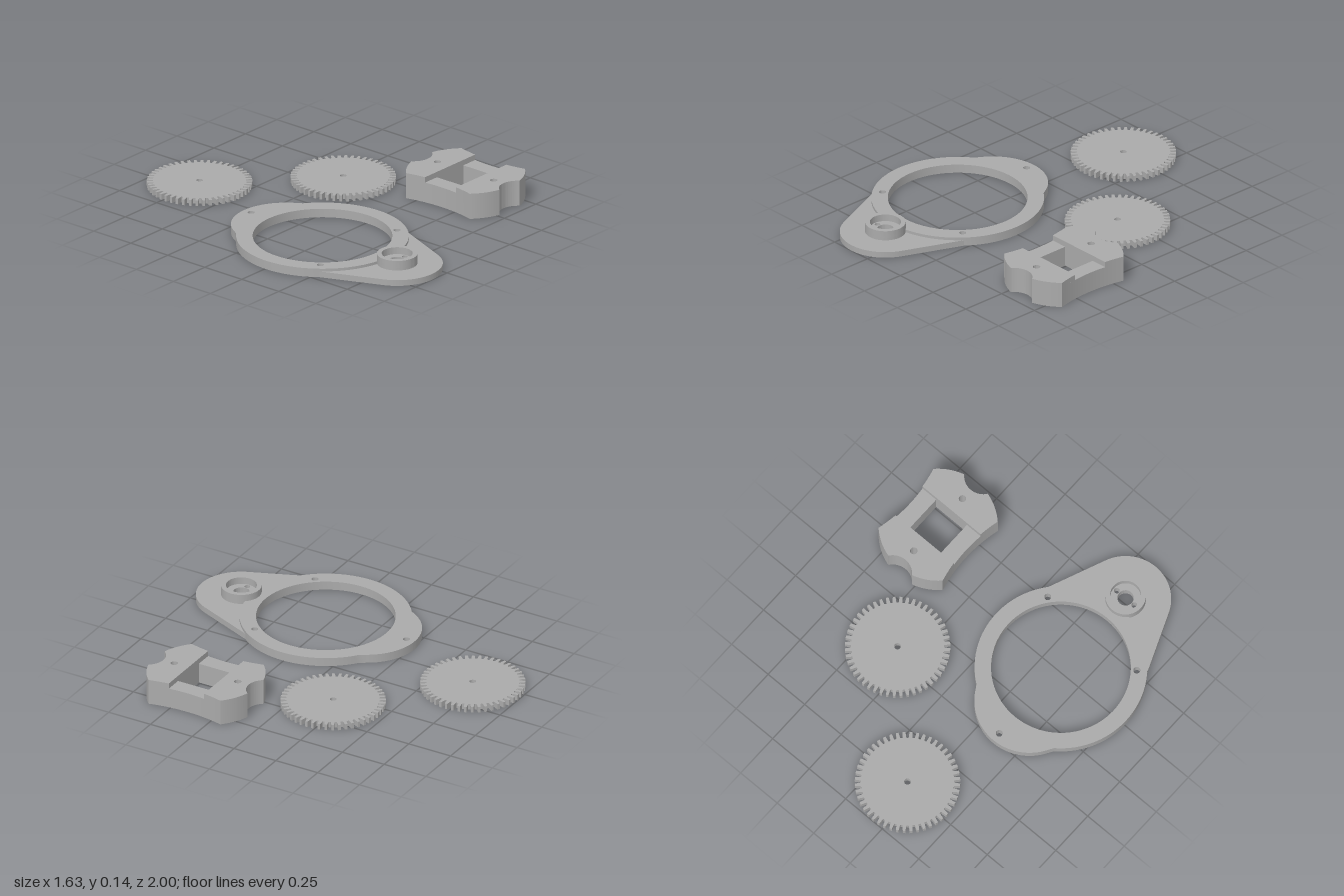
import * as THREE from 'three';
import { toCreasedNormals } from 'three/addons/utils/BufferGeometryUtils.js';

const PI = Math.PI;
const plastic = new THREE.MeshStandardMaterial({ color: 0xaaaaaa });
plastic.name = 'grey plastic';

// Plan shapes are drawn in (x, z) and raised from y0 to y1
function plate(name, shape, y0, y1) {
  const geo = new THREE.ExtrudeGeometry(shape, { depth: y1 - y0, bevelEnabled: false, curveSegments: 40 });
  geo.rotateX(PI / 2).translate(0, y1, 0);
  const mesh = new THREE.Mesh(toCreasedNormals(geo, 0.45), plastic);
  mesh.name = name;
  return mesh;
}

function disc(x, z, r) {
  const s = new THREE.Shape();
  s.absarc(x, z, r, 0, PI * 2, false);
  return s;
}

function group(name, x, z, ...parts) {
  const g = new THREE.Group();
  g.name = name;
  g.position.set(x, 0, z);
  g.add(...parts);
  return g;
}

function makeGear(name, x, z) {
  const teeth = 48, root = 0.24, tip = 0.272, pitch = PI * 2 / teeth;
  const pts = [];
  for (let i = 0; i < teeth; i++) {
    for (const [r, f] of [[root, -0.32], [tip, -0.19], [tip, 0.19], [root, 0.32]]) {
      const a = (i + f) * pitch;
      pts.push(new THREE.Vector2(r * Math.cos(a), r * Math.sin(a)));
    }
  }
  const s = new THREE.Shape(pts);
  s.holes.push(disc(0, 0, 0.017));
  return group(name, x, z, plate('toothedWheel', s, 0, 0.032));
}

function makeMount() {
  // Ring with a rounded lobe at the back
  const ring = new THREE.Shape();
  ring.absarc(0, 0, 0.445, -0.932, PI + 0.932, false);
  ring.absarc(0, -0.245, 0.285, PI + 0.538, PI * 2 - 0.538, false);
  ring.closePath();
  ring.holes.push(disc(0, 0, 0.36), disc(0, -0.482, 0.018));
  for (const side of [-1, 1]) ring.holes.push(disc(side * 0.305, 0.245, 0.018));

  // Lower tapered tail, boss centre at z = 0.505
  const c = 0.505;
  const shaftHoles = () => [disc(0, c, 0.042), disc(-0.06, c, 0.015), disc(0.06, c, 0.015)];
  const tail = new THREE.Shape();
  tail.absarc(0, 0, 0.445, 0.668, PI - 0.668, false);
  tail.absarc(0, c, 0.235, PI - 0.393, 0.393, true);
  tail.closePath();
  tail.holes.push(...shaftHoles());

  // Boss: drilled floor and raised collar
  const floor = disc(0, c, 0.105);
  floor.holes.push(...shaftHoles());
  const collar = disc(0, c, 0.105);
  collar.holes.push(disc(0, c, 0.08));

  return group('ringMount', -0.37, 0.26,
    plate('ring', ring, 0, 0.047),
    plate('tail', tail, 0, 0.032),
    plate('bossFloor', floor, 0.032, 0.047),
    plate('bossCollar', collar, 0.047, 0.085));
}

function makeBlock() {
  // One end: two convex corners with a round bite between them
  const addEnd = (s, turn) => {
    const dir = turn ? -1 : 1;
    s.absarc(0, 0, 0.307, turn + 0.774, turn + 1.306, false);
    s.absarc(0, dir * 0.355, 0.1, turn - 0.6435, turn - PI + 0.6435, true);
    s.absarc(0, 0, 0.307, turn + PI - 1.306, turn + PI - 0.774, false);
  };
  const sideX = 1.063, sideR = 0.87;

  const base = new THREE.Shape();
  base.absarc(sideX, 0, sideR, PI + 0.25, PI - 0.25, true);
  addEnd(base, 0);
  base.absarc(-sideX, 0, sideR, 0.25, -0.25, true);
  addEnd(base, PI);
  base.closePath();
  const h = 0.105;
  base.holes.push(
    new THREE.Path([[-h, -h], [h, -h], [h, h], [-h, h]].map(p => new THREE.Vector2(...p))),
    disc(0, 0.19, 0.019), disc(0, -0.19, 0.019));
  const block = group('spacerBlock', 0.598, 0.405, plate('blockBase', base, 0, 0.11));

  // Raised ends on both sides of the cross channel
  for (const turn of [0, PI]) {
    const end = new THREE.Shape();
    end.absarc(sideX, 0, sideR, PI - 0.121, PI - 0.25, true);
    addEnd(end, 0);
    end.absarc(-sideX, 0, sideR, 0.25, 0.121, true);
    end.closePath();
    end.holes.push(disc(0, 0.19, 0.019));
    const mesh = plate(turn ? 'backRaisedEnd' : 'frontRaisedEnd', end, 0.11, 0.14);
    mesh.rotation.y = turn;
    block.add(mesh);
  }
  return block;
}

export function createModel() {
  const model = new THREE.Group();
  model.name = 'gearMountKit';
  model.add(
    makeMount(),
    makeBlock(),
    makeGear('backGear', -0.185, -0.728),
    makeGear('middleGear', 0.342, -0.204));
  return model;
}
